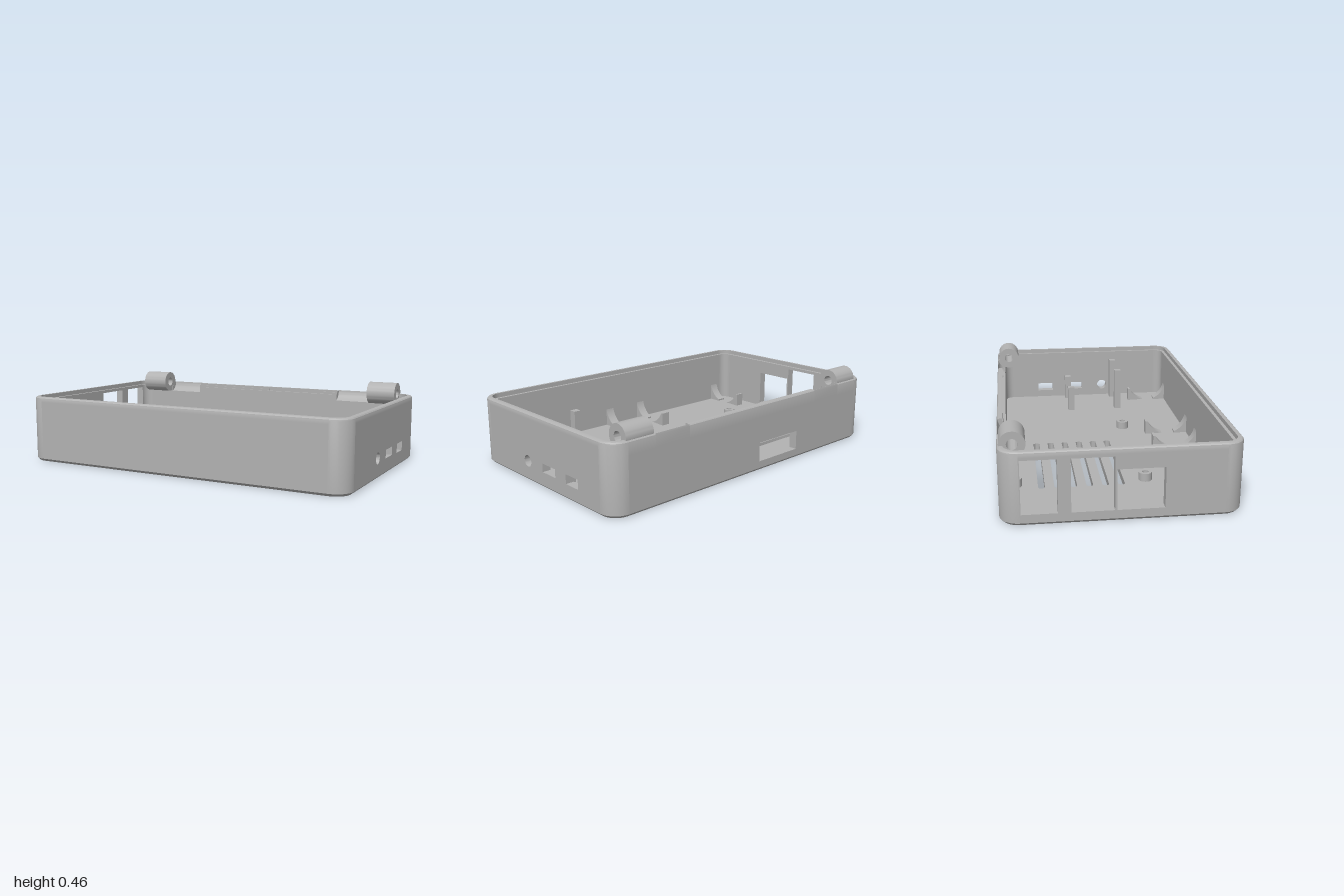
import * as THREE from 'three';
import { toCreasedNormals } from 'three/addons/utils/BufferGeometryUtils.js';

const HX = 1, HZ = 0.61, R = 0.1;          // half sizes and corner radius
const WALL = 0.048, FLOOR = 0.04, TOP = 0.385, CH = 0.015;

const grey = new THREE.MeshStandardMaterial({ color: 0xb2b2b2 });
grey.name = 'grey plastic';

function add(parent, name, geometry) {
  const mesh = new THREE.Mesh(toCreasedNormals(geometry, 0.5), grey);
  mesh.name = name;
  parent.add(mesh);
  return mesh;
}

const poly = (pts) => new THREE.Shape(pts.map(([x, y]) => new THREE.Vector2(x, y)));
const rect = (x0, x1, y0, y1) => poly([[x0, y0], [x1, y0], [x1, y1], [x0, y1]]);

function circle(x, y, r) {
  const s = new THREE.Shape();
  s.absarc(x, y, r, 0, Math.PI * 2);
  return s;
}

// Horizontal slot with round ends
function slot(x0, x1, y, r) {
  const s = new THREE.Shape();
  s.absarc(x1 - r, y, r, -Math.PI / 2, Math.PI / 2);
  s.absarc(x0 + r, y, r, Math.PI / 2, Math.PI * 1.5);
  s.closePath();
  return s;
}

function roundedRect(hx, hz, r) {
  const s = new THREE.Shape();
  [[1, 1], [-1, 1], [-1, -1], [1, -1]].forEach(([sx, sz], i) =>
    s.absarc(sx * (hx - r), sz * (hz - r), r, i * Math.PI / 2, (i + 1) * Math.PI / 2));
  s.closePath();
  return s;
}

function extrude(shape, depth, holes = []) {
  shape.holes.push(...holes);
  return new THREE.ExtrudeGeometry(shape, { depth, bevelEnabled: false, curveSegments: 20 });
}

// Section drawn in (z, y), extruded along x from a to b
const run = (shape, a, b, holes) =>
  extrude(shape, b - a, holes).rotateY(-Math.PI / 2).translate(b, 0, 0);

// Plate drawn in (x, z), lying flat from y0 to y1
const plate = (shape, y0, y1, holes) =>
  extrude(shape, y1 - y0, holes).rotateX(Math.PI / 2).translate(0, y1, 0);

// Rounded rim with an inner step, as [inset, y]
const RIM = [[0, 0.37], [0.002, 0.3775], [0.0075, 0.383], [0.015, TOP],
  [0.03, TOP], [0.03, 0.36], [WALL, 0.36]];
const section = (pts) => poly(pts.map(([d, y]) => [-d, y]));
const rimFrom = (y0) => section([[0, y0], ...RIM, [WALL, y0]]);

// Rim section scooped out to clear a mating hinge knuckle
function scoopedRim(y0) {
  const pts = [[0, y0], [0, 0.375], [0.002, TOP]];
  for (let i = 0; i <= 10; i++) {
    const a = 0.07 + (1.186 - 0.07) * i / 10;
    pts.push([0.075 - 0.072 * Math.cos(a), 0.39 - 0.072 * Math.sin(a)]);
  }
  return section([...pts, [WALL, y0]]);
}

// One straight wall: chamfered foot, panel with openings, rim pieces
function wall(parent, name, half, offset, angle, panelTop, holes, scoops = []) {
  const g = new THREE.Group();
  g.name = name;
  g.rotation.y = angle;
  g.position.set(Math.sin(angle) * offset, 0, Math.cos(angle) * offset);
  add(g, 'bottomChamfer', run(section([[CH, 0], [0, CH], [0, FLOOR], [CH, FLOOR]]), -half, half));
  add(g, 'wallPanel', extrude(rect(-half, half, FLOOR, panelTop), WALL, holes).translate(0, 0, -WALL));
  let x = -half;
  for (const [a, b] of scoops) {
    add(g, 'rim', run(rimFrom(panelTop), x, a));
    add(g, 'hingeClearance', run(scoopedRim(panelTop), a, b));
    x = b;
  }
  add(g, 'rim', run(rimFrom(panelTop), x, half));
  parent.add(g);
}

export function createModel() {
  const model = new THREE.Group();
  model.name = 'enclosureBase';

  // Floor with ventilation slots, and foot recesses in its lower layer
  const vents = () => Array.from({ length: 6 }, (_, i) => slot(-0.66, 0, -0.388 + i * 0.0856, 0.018));
  const feet = [];
  for (const x of [-0.75, 0.75]) for (const z of [-0.5, 0.5]) feet.push(circle(x, z, 0.063));
  const outline = () => roundedRect(HX - CH, HZ - CH, R - CH);
  add(model, 'floorUnderside', plate(outline(), 0, CH, [...vents(), ...feet]));
  add(model, 'floor', plate(outline(), CH, FLOOR, vents()));

  // Walls
  wall(model, 'frontWall', HX - R, HZ, 0, 0.355, []);
  wall(model, 'backWall', HX - R, HZ, Math.PI, 0.31,
    [rect(0.03, 0.35, 0.055, 0.165)], [[-0.73, -0.505], [0.505, 0.73]]);
  wall(model, 'leftWall', HZ - R, HX, Math.PI / 2, 0.355,
    [circle(-0.13, 0.115, 0.033), rect(0.012, 0.13, 0.09, 0.138), rect(0.225, 0.33, 0.085, 0.138)]);
  wall(model, 'rightWall', HZ - R, HX, -Math.PI / 2, 0.355,
    [rect(-0.505, -0.325, 0.06, 0.342), rect(-0.26, -0.045, 0.06, 0.342), rect(-0.035, 0.205, 0.06, 0.275)]);

  // Rounded corners
  const corner = [[CH, 0], [0, CH], ...RIM, [WALL, FLOOR], [CH, FLOOR], [CH, 0]]
    .map(([d, y]) => new THREE.Vector2(R - d, y));
  [[1, 1], [1, -1], [-1, -1], [-1, 1]].forEach(([sx, sz], i) =>
    add(model, 'cornerWall', new THREE.LatheGeometry(corner, 12, i * Math.PI / 2, Math.PI / 2))
      .position.set(sx * (HX - R), 0, sz * (HZ - R)));

  // Hinge knuckles
  for (const x of [-0.905, 0.733])
    add(model, 'hingeKnuckle', run(circle(-0.535, 0.39, 0.066), x, x + 0.172, [circle(-0.535, 0.39, 0.028)]));

  // Thin ledges on the inner step of the back rim
  for (const [a, b] of [[-0.51, 0.025], [0.37, 0.505]])
    add(model, 'rimLedge', run(rect(-0.583, -0.573, 0.355, 0.373), a, b));

  // Circuit board standoffs
  for (const x of [-0.605, 0.225])
    for (const z of [-0.525, 0.175])
      add(model, 'standoff', plate(circle(x, z, 0.036), FLOOR, 0.085, [circle(x, z, 0.017)]));

  // Square support posts, taller towards the front
  for (const x of [0.633, 0.903])
    for (const [z, top] of [[-0.12, 0.2], [0.2, 0.31]])
      add(model, 'supportPost', new THREE.BoxGeometry(0.042, top - FLOOR, 0.042)
        .translate(x, (top + FLOOR) / 2, z));

  // Cradle ribs that hold a round cell against the front wall
  const cz = 0.435, cy = 0.17, cr = 0.13;
  const arc = (a0, a1) => Array.from({ length: 11 }, (_, i) => {
    const a = a0 + (a1 - a0) * i / 10;
    return [cz + cr * Math.sin(a), cy - cr * Math.cos(a)];
  });
  const innerRib = [[0.302, FLOOR], ...arc(-0.23, -1.18), [0.302, 0.12]];
  const wallRib = [[0.485, FLOOR], ...arc(0.39, 1.55), [0.567, 0.18], [0.567, FLOOR]];
  for (const x of [-0.845, -0.14, 0.115, 0.815]) {
    add(model, 'innerCradleRib', run(poly(innerRib), x - 0.028, x + 0.028));
    add(model, 'wallCradleRib', run(poly(wallRib), x - 0.028, x + 0.028));
  }

  return model;
}
